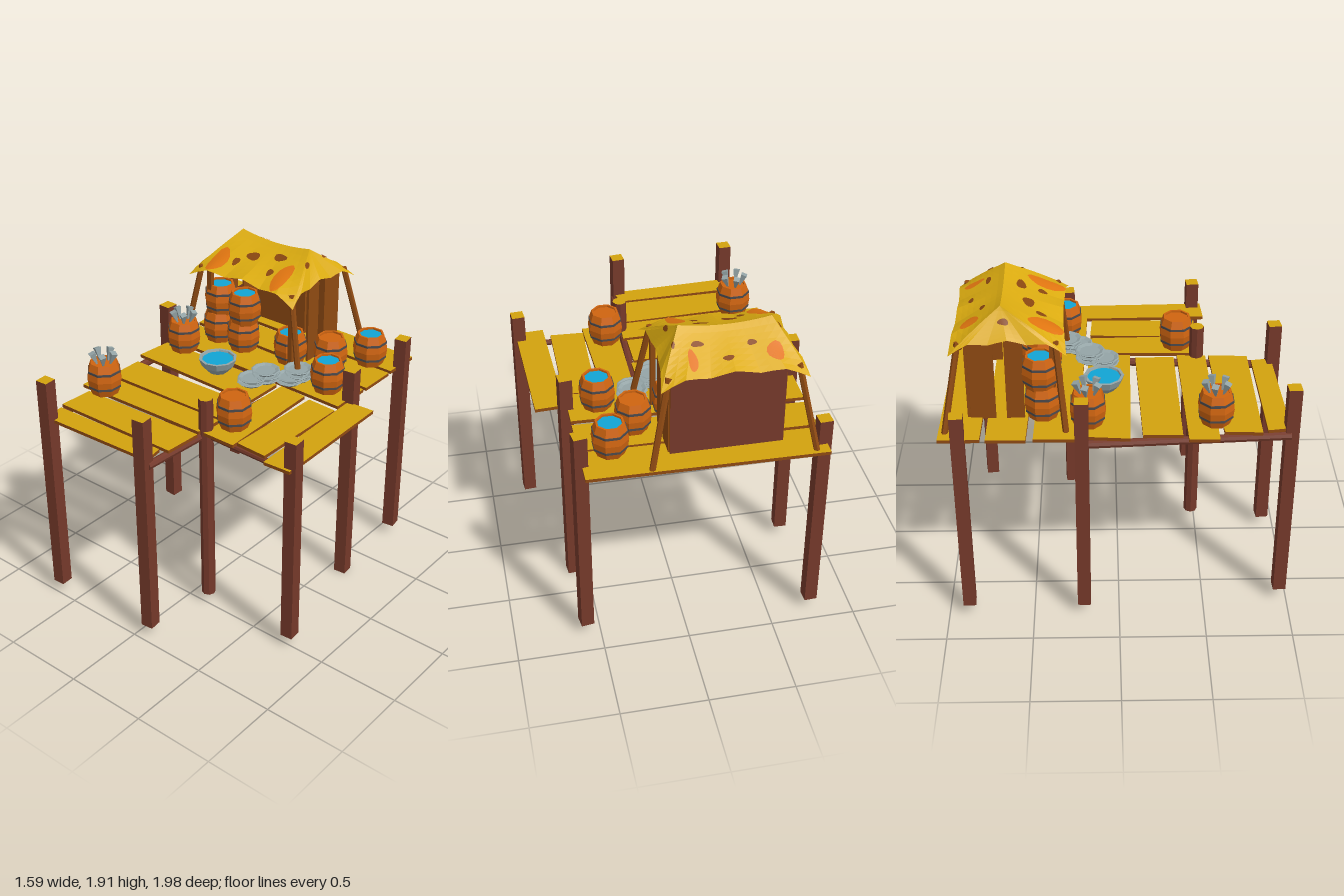
import * as THREE from 'three';

const mat = (name, color, flat = true) => {
  const m = new THREE.MeshStandardMaterial({ color, flatShading: flat });
  m.name = name;
  return m;
};

export function createModel() {
  const model = new THREE.Group();
  const gold = mat('plankGold', 0xd2a20e);
  const post = mat('postBrown', 0x75392a);
  const edge = mat('edgeBrown', 0x8f4a12);
  const cloth = mat('canopyYellow', 0xdcac10);
  const orange = mat('barrelOrange', 0xcf6410);
  const patchOrange = mat('patchOrange', 0xe07510);
  const iron = mat('ironBand', 0x4c4a4c);
  const water = mat('waterBlue', 0x12a4d4);
  const grey = mat('pewterGrey', 0x94a4a6);
  cloth.side = patchOrange.side = THREE.DoubleSide;
  const patchBrown = mat('patchBrown', 0x8a4710);
  patchBrown.side = THREE.DoubleSide;

  const add = (name, geo, material, x = 0, y = 0, z = 0, parent = model) => {
    const m = new THREE.Mesh(geo, material);
    m.name = name;
    m.position.set(x, y, z);
    parent.add(m);
    return m;
  };
  // Round or square bar between two points
  const bar = (name, a, b, r, material, sides = 8) => {
    const p = new THREE.Vector3(...a), q = new THREE.Vector3(...b);
    const m = add(name, new THREE.CylinderGeometry(r, r, p.distanceTo(q), sides), material);
    m.position.copy(p).add(q).multiplyScalar(0.5);
    m.quaternion.setFromUnitVectors(new THREE.Vector3(0, 1, 0), q.sub(p).normalize());
    return m;
  };

  // Posts: x, z, bottom, top, turn
  [[-0.755, -0.88, 0.07, 1.38, 0.05], [0.58, -0.83, 0.07, 1.42, 0.15], [0.58, -0.295, 0, 1.43, 0.1],
    [-0.76, -0.205, 0.07, 1.47, -0.03], [-0.64, 0.955, 0.07, 1.47, 0.05], [0.065, 0.925, 0.07, 1.47, 0.1],
    [0.755, 0.485, 0.07, 1.39, 0.08]].forEach(([x, z, lo, hi, turn]) => {
    const m = add('post', new THREE.BoxGeometry(0.075, hi - lo, 0.075),
      [post, post, gold, post, post, post], x, (lo + hi) / 2, z);
    m.rotation.y = turn;
  });
  add('roundPost', new THREE.CylinderGeometry(0.042, 0.042, 1.35, 8), [post, gold, post], 0.13, 0.745, 0.475);

  // Support beams
  bar('leftBeam', [-0.74, 1.175, -0.2], [-0.67, 1.175, 0.95], 0.024, post);
  bar('middleBeam', [0.15, 1.175, -0.22], [0.09, 1.175, 0.92], 0.024, post);
  bar('crossBeam', [-0.13, 1.175, 0.46], [0.76, 1.18, 0.48], 0.018, post);

  // Deck planks: four x,z corners and top height
  [[[-0.77, -0.99, 0.57, -0.97, 0.57, -0.73, -0.77, -0.76], 1.232],
    [[-0.77, -0.73, 0.57, -0.71, 0.57, -0.47, -0.77, -0.51], 1.228],
    [[-0.77, -0.47, 0.57, -0.44, 0.57, -0.18, -0.77, -0.22], 1.232],
    [[-0.74, -0.18, 0.13, -0.17, 0.13, 0.08, -0.76, 0.06], 1.226],
    [[-0.72, 0.13, 0.11, 0.11, 0.11, 0.34, -0.72, 0.35], 1.22],
    [[-0.77, 0.38, 0.13, 0.36, 0.12, 0.53, -0.77, 0.55], 1.222],
    [[-0.69, 0.58, 0.13, 0.55, 0.12, 0.78, -0.7, 0.79], 1.218],
    [[-0.68, 0.82, 0.07, 0.8, 0.09, 0.92, -0.66, 0.95], 1.218],
    [[0.16, -0.18, 0.34, -0.17, 0.36, 0.52, 0.15, 0.52], 1.222],
    [[0.38, -0.16, 0.57, -0.15, 0.56, 0.49, 0.36, 0.48], 1.218],
    [[0.58, -0.27, 0.75, -0.28, 0.77, 0.54, 0.6, 0.55], 1.225]].forEach(([c, y]) => {
    const s = new THREE.Shape();
    s.moveTo(c[0], c[1]);
    for (let i = 2; i < 8; i += 2) s.lineTo(c[i], c[i + 1]);
    const g = new THREE.ExtrudeGeometry(s, { depth: 0.02, bevelEnabled: false }).rotateX(Math.PI / 2);
    add('plank', g, [gold, edge], 0, y, 0);
  });

  // Barrels
  const wood = new THREE.LatheGeometry([[0, 0], [0.08, 0], [0.099, 0.05], [0.106, 0.1], [0.099, 0.15], [0.082, 0.2],
    [0.07, 0.2], [0.07, 0.185], [0, 0.185]].map(p => new THREE.Vector2(...p)), 8);
  const bandGeo = new THREE.CylinderGeometry(0.1015, 0.1015, 0.014, 8, 1);
  const lidGeo = new THREE.CircleGeometry(0.071, 8, Math.PI / 2).rotateX(-Math.PI / 2);
  const fishGeo = new THREE.ConeGeometry(0.026, 0.1, 4);
  const barrel = (x, y, z, lid, fish) => {
    const g = new THREE.Group();
    g.name = 'barrel';
    g.position.set(x, y, z);
    g.rotation.y = Math.PI / 8;
    model.add(g);
    add('staves', wood, orange, 0, 0, 0, g);
    for (const h of [0.052, 0.148]) add('band', bandGeo, iron, 0, h, 0, g);
    add('lid', lidGeo, lid, 0, 0.188, 0, g);
    for (let i = 0; fish && i < 5; i++) {
      const a = i * Math.PI * 0.4;
      const f = add('fishTail', fishGeo, grey, 0.05 * Math.cos(a), 0.215, 0.05 * Math.sin(a), g);
      f.rotation.set(Math.PI + 0.35 * Math.sin(a), 0, 0.35 * Math.cos(a));
    }
  };
  const floor = 1.23;
  [[0.4, -0.75, water], [0.24, -0.56, orange], [0.4, -0.31, water], [0.24, 0.36, orange],
    [0.01, -0.46, water], [-0.32, -0.41, orange], [-0.52, -0.42, orange],
    [-0.6, -0.17, orange, true], [-0.6, 0.535, orange, true]].forEach(([x, z, l, f]) => barrel(x, floor, z, l, f));
  barrel(-0.515, 1.415, -0.43, water);
  barrel(-0.31, 1.415, -0.41, water);

  // Bowl of water
  add('bowl', new THREE.LatheGeometry([[0, 0], [0.06, 0], [0.1, 0.045], [0.117, 0.09], [0.1, 0.09], [0.095, 0.075], [0, 0.07]]
    .map(p => new THREE.Vector2(...p)), 10), grey, -0.25, floor, -0.08);
  add('bowlWater', new THREE.CircleGeometry(0.098, 10).rotateX(-Math.PI / 2), water, -0.25, floor + 0.079, -0.08);

  // Stacked plates
  const plate = new THREE.LatheGeometry([[0, 0], [0.055, 0], [0.088, 0.024], [0.08, 0.027], [0.06, 0.018], [0, 0.018]]
    .map(p => new THREE.Vector2(...p)), 10);
  [[0.015, -0.075, 2], [0.055, -0.16, 3], [0.18, -0.23, 2], [0.195, -0.295, 3]].forEach(([x, z, n]) => {
    for (let i = 0; i < n; i++) add('plate', plate, grey, x + 0.006 * (i % 2), floor + 0.027 * i, z).rotation.y = i;
  });

  // Stall walls
  const wallW = 0.63;
  add('backWall', new THREE.BoxGeometry(wallW, 0.5, 0.016), [edge, edge, edge, edge, edge, post], -0.225, 1.475, -0.83);
  for (const x of [-0.54, 0.09]) {
    for (const [z, w] of [[-0.75, 0.14], [-0.57, 0.1]])
      add('sideSlat', new THREE.BoxGeometry(0.014, 0.5, w), edge, x, 1.475, z);
    add('frontUpright', new THREE.BoxGeometry(0.03, 0.5, 0.03), edge, x, 1.475, -0.36);
  }
  add('wallBatten', new THREE.BoxGeometry(0.03, 0.52, 0.02), edge, -0.155, 1.48, -0.815);

  // Leaning corner poles
  for (const s of [-1, 1]) {
    const cx = -0.245;
    bar('rearPole', [cx + s * 0.455, 1.22, -0.955], [cx + s * 0.35, 1.74, -0.86], 0.018, edge, 6);
    bar('frontPole', [cx + s * 0.45, 1.22, -0.29], [cx + s * 0.345, 1.74, -0.34], 0.018, edge, 6);
  }

  // Canopy surface: sagging hipped cloth with a wavy hem
  const RX = 0.255, EX = 0.4, EZ = 0.315;
  const roof = (dx, dz, lift = 0) => {
    const tz = Math.abs(dz) / EZ, tx = (Math.abs(dx) - RX) / (EX - RX);
    const t = Math.min(1, Math.max(tz, tx, 0));
    const u = dx / (RX + (EX - RX) * t), v = t > 0 ? dz / (EZ * t) : 0;
    const s = tz >= tx ? u : v;
    const y = 1.91 - 0.025 * (1 - u * u) * (1 - t) - 0.165 * Math.pow(t, 0.9)
      - 0.05 * t * t * Math.pow(Math.abs(s), 3) + 0.012 * t * t * Math.cos(s * Math.PI * 3);
    const inset = 0.035 * t * (1 - s * s);
    const x = tz >= tx ? dx : dx - Math.sign(dx) * inset;
    const z = tz >= tx ? dz - Math.sign(dz) * inset * 0.6 : dz;
    return [-0.245 + x, y + lift, -0.595 + z - 0.035 * (1 - t)];
  };
  // Skin made of closed rings, each ring a list of points
  const skin = (rings) => {
    const n = rings[0].length, pos = rings.flat(2), idx = [];
    for (let r = 0; r + 1 < rings.length; r++) for (let i = 0; i < n; i++) {
      const a = r * n + i, b = r * n + (i + 1) % n;
      idx.push(a, a + n, b, b, a + n, b + n);
    }
    const g = new THREE.BufferGeometry();
    g.setAttribute('position', new THREE.Float32BufferAttribute(pos, 3));
    g.setIndex(idx);
    g.computeVertexNormals();
    return g;
  };
  const N = 12, rings = [];
  for (let k = 0; k <= 8; k++) {
    const t = k / 8, hx = RX + (EX - RX) * t, hz = EZ * t, ring = [];
    for (let side = 0; side < 4; side++) for (let i = 0; i < N; i++) {
      const s = -1 + 2 * i / N;
      const [a, b] = [[s, 1], [1, -s], [-s, -1], [-1, s]][side];
      ring.push(roof(a * hx, b * hz));
    }
    rings.push(ring);
  }
  add('canopy', skin(rings), cloth);

  // Cloth patches: centre and half sizes relative to the canopy middle
  const patch = (x, z, w, d, material) => {
    const list = [];
    for (let k = 0; k <= 4; k++) {
      const ring = [];
      for (let i = 0; i < 14; i++) {
        const a = -i / 14 * Math.PI * 2, r = k / 4 * (1 + 0.1 * Math.sin(3 * a + x * 20));
        ring.push(roof(x + w * r * Math.cos(a), z + d * r * Math.sin(a), 0.006));
      }
      list.push(ring);
    }
    add('canopyPatch', skin(list), material);
  };
  [[-0.25, 0.225, 0.058, 0.09], [0.22, 0.215, 0.05, 0.1], [-0.235, -0.2, 0.045, 0.06], [0.21, -0.21, 0.025, 0.07]]
    .forEach(p => patch(...p, patchOrange));
  [[-0.06, 0.135, 0.045, 0.03], [0.11, 0.09, 0.045, 0.025], [0.12, 0.2, 0.022, 0.025], [-0.14, 0.2, 0.022, 0.028],
    [0.17, -0.11, 0.035, 0.018], [-0.12, -0.13, 0.025, 0.018], [0.02, -0.22, 0.03, 0.018], [0.31, 0.07, 0.014, 0.025],
    [0.3, -0.1, 0.012, 0.02], [-0.32, 0.0, 0.014, 0.03]].forEach(p => patch(...p, patchBrown));

  return model;
}
